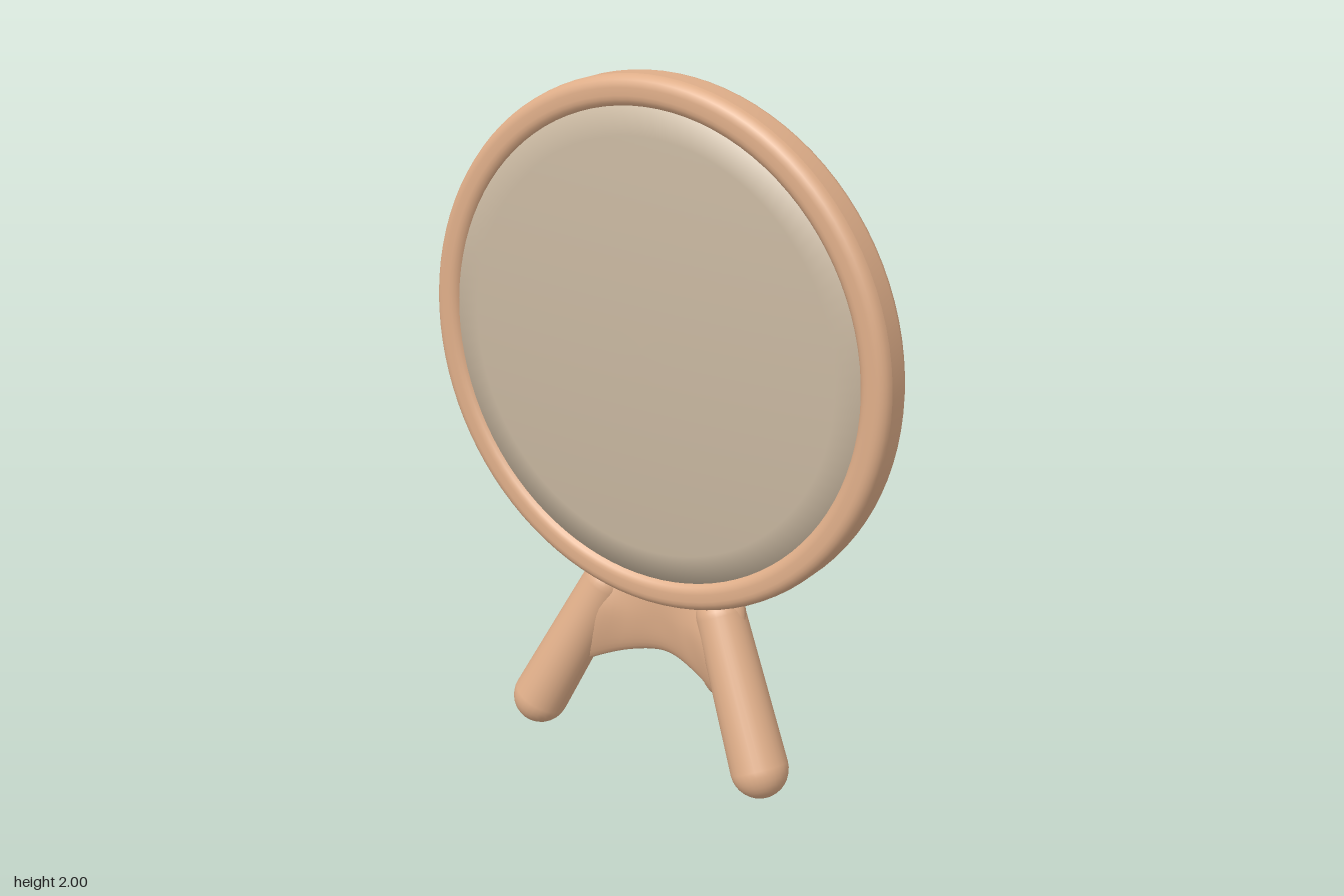
import * as THREE from 'three';

const V = (x, y, z) => new THREE.Vector3(x, y, z);

// Tapered limb with rounded ends, running from point a (radius ra) to point b (radius rb)
function limb(a, b, ra, rb) {
  const len = a.distanceTo(b), pts = [], n = 8;
  for (let i = 0; i <= n; i++) {
    const t = -Math.PI / 2 + (i / n) * Math.PI / 2;
    pts.push(new THREE.Vector2(Math.cos(t) * ra, Math.sin(t) * ra));
  }
  for (let i = 0; i <= n; i++) {
    const t = (i / n) * Math.PI / 2;
    pts.push(new THREE.Vector2(Math.cos(t) * rb, len + Math.sin(t) * rb));
  }
  const g = new THREE.LatheGeometry(pts, 28);
  const dir = b.clone().sub(a).normalize();
  g.applyQuaternion(new THREE.Quaternion().setFromUnitVectors(V(0, 1, 0), dir));
  return g.translate(a.x, a.y, a.z);
}

// Closed, left-right symmetric section from its +x half, sampled n times
function section(half, n) {
  const pts = half.map(p => V(...p));
  for (let i = half.length - 2; i > 0; i--) pts.push(V(-half[i][0], half[i][1], half[i][2]));
  const curve = new THREE.CatmullRomCurve3(pts, true);
  return Array.from({ length: n }, (_, i) => curve.getPoint(i / n));
}

// Smooth skin over sections ordered from top to bottom
function loft(sections, rows) {
  const n = sections[0].length, pos = [], idx = [];
  const columns = Array.from({ length: n }, (_, i) => new THREE.CatmullRomCurve3(sections.map(s => s[i])));
  for (let r = 0; r <= rows; r++) {
    for (let i = 0; i < n; i++) {
      const p = columns[i].getPoint(r / rows);
      pos.push(p.x, p.y, p.z);
      if (r < rows) {
        const a = r * n + i, b = r * n + (i + 1) % n;
        idx.push(a, b, a + n, b, b + n, a + n);
      }
    }
  }
  const g = new THREE.BufferGeometry();
  g.setAttribute('position', new THREE.Float32BufferAttribute(pos, 3));
  g.setIndex(idx);
  g.computeVertexNormals();
  return g;
}

export function createModel() {
  const model = new THREE.Group();
  model.name = 'standMirror';
  const wood = new THREE.MeshStandardMaterial({ color: 0xdfae89 });
  wood.name = 'warm tan';
  const glass = new THREE.MeshStandardMaterial({ color: 0xc8b7a0 });
  glass.name = 'grey beige';
  const add = (name, geometry, material) => {
    const mesh = new THREE.Mesh(geometry, material);
    mesh.name = name;
    model.add(mesh);
    return mesh;
  };

  // Slightly tall round frame: a rounded rectangle swept around the mirror's axis
  const profile = [], c = 0.033;
  for (const [x, y, start] of [[0.745 - c, 0.062 - c, 0], [0.658 + c, 0.062 - c, 1],
    [0.658 + c, -0.062 + c, 2], [0.745 - c, -0.062 + c, 3]]) {
    for (let i = 0; i <= 5; i++) {
      const t = (start + i / 5) * Math.PI / 2;
      profile.push(new THREE.Vector2(x + Math.cos(t) * c, y + Math.sin(t) * c));
    }
  }
  profile.push(profile[0].clone());
  const ring = new THREE.LatheGeometry(profile, 96).rotateX(Math.PI / 2).scale(1, 1.012, 1);
  add('frame', ring, wood).position.set(0, 1.246, 0.158);

  // Mirror disc, bulging gently on both faces
  const disc = [], R = 0.675;
  for (let i = 0; i <= 8; i++) disc.push(new THREE.Vector2(R * i / 8, -0.032 + 0.014 * (i / 8) ** 2));
  for (let i = 8; i >= 0; i--) disc.push(new THREE.Vector2(R * i / 8, 0.074 - 0.028 * (i / 8) ** 2));
  add('mirror', new THREE.LatheGeometry(disc, 96).rotateX(Math.PI / 2), glass).position.set(0, 1.248, 0.158);

  // Three splayed legs
  for (const s of [1, -1]) {
    add(s > 0 ? 'frontLegLeft' : 'frontLegRight',
      limb(V(s * 0.388, 0.09, 0.222), V(s * 0.2, 0.48, 0.135), 0.083, 0.072), wood);
  }
  add('backLeg', limb(V(0, 0.088, -0.222), V(0, 0.53, -0.092), 0.085, 0.062), wood);

  // Three-lobed hub webbing the legs together, arched underneath
  const top = [[0, 0.588, -0.15], [0.058, 0.588, -0.1], [0.11, 0.58, -0.03], [0.18, 0.578, 0.04],
    [0.23, 0.588, 0.08], [0.25, 0.588, 0.115], [0.19, 0.565, 0.15], [0.1, 0.545, 0.155], [0, 0.535, 0.15]];
  const mid = [[0, 0.44, -0.188], [0.07, 0.44, -0.13], [0.108, 0.44, -0.04], [0.165, 0.44, 0.03],
    [0.245, 0.43, 0.085], [0.286, 0.43, 0.145], [0.215, 0.43, 0.207], [0.1, 0.42, 0.175], [0, 0.42, 0.155]];
  const low = [[0, 0.18, -0.205], [0.055, 0.2, -0.17], [0.085, 0.27, -0.055], [0.155, 0.288, 0.035],
    [0.27, 0.245, 0.13], [0.335, 0.18, 0.19], [0.26, 0.235, 0.2], [0.125, 0.292, 0.16], [0, 0.31, 0.13]];
  const n = 96, rim = section(top, n), foot = section(low, n);
  const topCentre = V(0, 0.59, 0.04), underCentre = V(0, 0.31, 0.01);
  const inset = rim.map(p => p.clone().lerp(topCentre, 0.15).add(V(0, 0.01, 0)));
  const arch = foot.map(p => p.clone().lerp(underCentre, 0.4).setY(0.305 + (p.y - 0.305) * 0.25));
  add('hub', loft([rim.map(() => topCentre.clone()), inset, rim, section(mid, n), foot, arch,
    rim.map(() => underCentre.clone())], 42), wood);

  return model;
}
